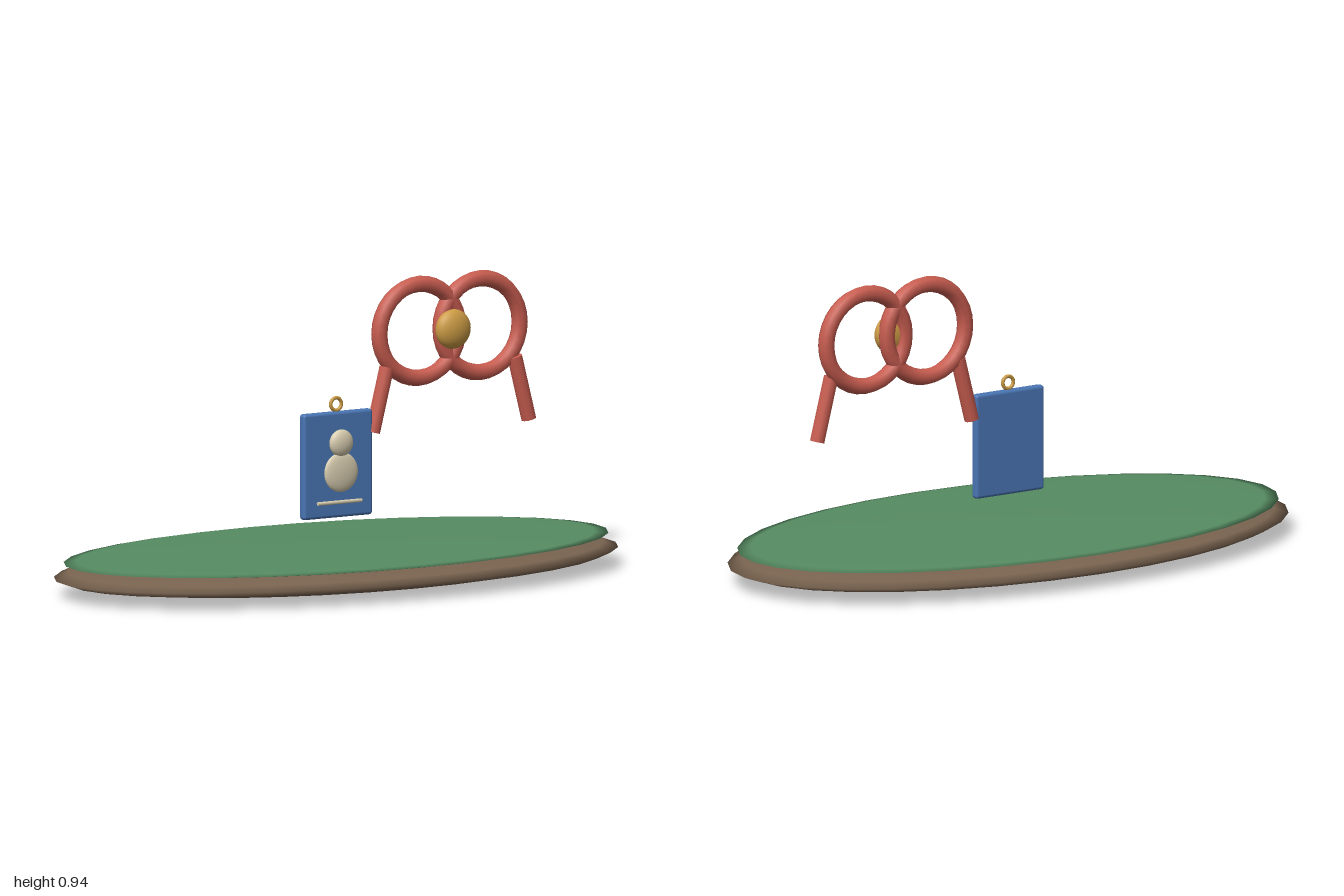
import * as THREE from 'three';
import { RoundedBoxGeometry } from 'three/addons/geometries/RoundedBoxGeometry.js';

export function createModel() {
  const model = new THREE.Group();
  const paint = (name, color) => {
    const m = new THREE.MeshStandardMaterial({ color });
    m.name = name;
    return m;
  };
  const brown = paint('earth brown', 0x7a6450);
  const green = paint('grass green', 0x568c62);
  const blue = paint('card blue', 0x4a76b5);
  const cream = paint('cream', 0xd8cdb0);
  const gold = paint('gold', 0xcc9c45);
  const red = paint('ribbon red', 0xc95d50);

  const add = (name, geometry, material, x, y, z) => {
    const mesh = new THREE.Mesh(geometry, material);
    mesh.name = name;
    mesh.position.set(x, y, z);
    model.add(mesh);
    return mesh;
  };
  const ellipsoid = (name, material, centre, radii, ws = 24, hs = 16) =>
    add(name, new THREE.SphereGeometry(1, ws, hs), material, ...centre).scale.set(...radii);

  // Flattened oval ground with a thin grass lens resting on it
  ellipsoid('groundBase', brown, [0, 0.057, 0], [1, 0.056, 0.548], 32, 10);
  ellipsoid('grassTop', green, [0, 0.103, 0], [0.967, 0.016, 0.523], 32, 10);

  // Hanging tag with its eyelet
  add('tagCard', new RoundedBoxGeometry(0.26, 0.336, 0.03, 2, 0.01), blue, 0, 0.367, 0);
  add('tagEyelet', new THREE.TorusGeometry(0.02, 0.006, 8, 20), gold, 0, 0.558, 0);

  // Raised figure and underline on the front of the tag
  ellipsoid('figureBody', cream, [0, 0.345, 0.029], [0.063, 0.063, 0.015]);
  ellipsoid('figureHead', cream, [0, 0.438, 0.03], [0.043, 0.043, 0.02]);
  const bar = add('figureUnderline', new THREE.CylinderGeometry(0.006, 0.006, 0.165, 8), cream, 0, 0.249, 0.021);
  bar.rotation.z = Math.PI / 2;

  // Bow: two overlapping loops, a knot and two splayed tails
  const bowX = 0.427, bowY = 0.766;
  const up = new THREE.Vector3(0, 1, 0);
  for (const side of [-1, 1]) {
    const label = side > 0 ? 'Left' : 'Right';
    add('bowLoop' + label, new THREE.TorusGeometry(0.149, 0.026, 8, 32), red, bowX + side * 0.115, bowY, 0);
    const z = side > 0 ? 0.014 : 0;
    const top = new THREE.Vector3(bowX + side * 0.236, 0.66, z);
    const end = new THREE.Vector3(bowX + side * 0.289, 0.457, z);
    const dir = top.clone().sub(end);
    const middle = top.clone().add(end).multiplyScalar(0.5);
    const tail = add('bowTail' + label, new THREE.CylinderGeometry(0.024, 0.024, dir.length(), 10), red, ...middle.toArray());
    tail.quaternion.setFromUnitVectors(up, dir.normalize());
  }
  ellipsoid('bowKnot', gold, [bowX - 0.003, bowY, 0.025], [0.063, 0.063, 0.034]);

  return model;
}
